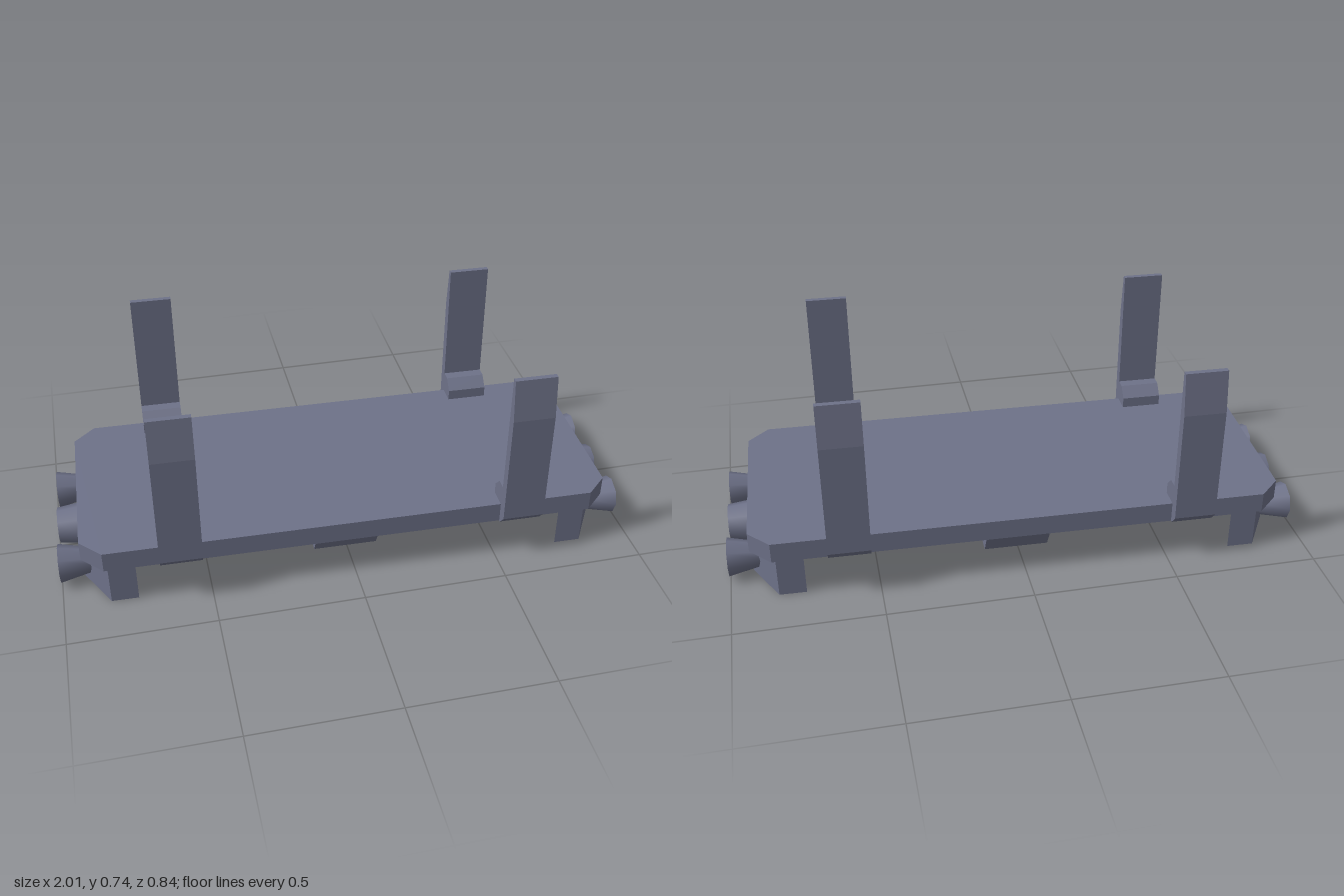
import * as THREE from 'three';

const material = new THREE.MeshStandardMaterial({ color: 0x6e7289 });
material.name = 'slate grey';

const shapeOf = (pts) => new THREE.Shape(pts.map(([x, y]) => new THREE.Vector2(x, y)));

// Rectangle with cut corners, as a point list
function cutRect(hx, hz, cx, cz = cx) {
  return [
    [hx, -hz + cz], [hx, hz - cz], [hx - cx, hz], [-hx + cx, hz],
    [-hx, hz - cz], [-hx, -hz + cz], [-hx + cx, -hz], [hx - cx, -hz],
  ];
}

// Plan outline (x, z) raised from y0 to y1
function slab(shape, y0, y1) {
  const geo = new THREE.ExtrudeGeometry(shape, { depth: y1 - y0, bevelEnabled: false });
  geo.rotateX(-Math.PI / 2);
  geo.translate(0, y0, 0);
  return geo;
}

// Side profile (z, y) extruded along x, centred on x
function sideProfile(pts, width, x = 0) {
  const geo = new THREE.ExtrudeGeometry(shapeOf(pts), { depth: width, bevelEnabled: false });
  geo.translate(0, 0, -width / 2);
  geo.rotateY(-Math.PI / 2);
  geo.translate(x, 0, 0);
  return geo;
}

export function createModel() {
  const model = new THREE.Group();
  model.name = 'tray';
  const body = new THREE.Group();
  body.name = 'body';
  body.rotation.y = -0.0266;
  model.add(body);

  const add = (name, geo, parent = body) => {
    const mesh = new THREE.Mesh(geo, material);
    mesh.name = name;
    parent.add(mesh);
    return mesh;
  };

  // Flat deck with cut corners
  add('deck', slab(shapeOf(cutRect(0.917, 0.366, 0.073)), 0.15, 0.222));

  // Frame under the deck, hollow in the middle
  const frame = shapeOf(cutRect(0.26, 0.25, 0.1));
  frame.holes.push(new THREE.Path(
    cutRect(0.215, 0.205, 0.085).reverse().map(([x, y]) => new THREE.Vector2(x, y))));
  add('underFrame', slab(frame, 0.08, 0.15));

  // Block with sloped ends crossing the frame
  add('underBlock', sideProfile([[-0.22, 0], [0.22, 0], [0.31, 0.15], [-0.31, 0.15]], 0.225));

  // Upright clips with a small hook over the deck edge
  const clip = [
    [0.373, 0.15], [0.405, 0.186], [0.405, 0.59], [0.387, 0.737], [0.369, 0.737],
    [0.369, 0.297], [0.332, 0.297], [0.297, 0.26], [0.297, 0.215], [0.365, 0.215], [0.365, 0.15],
  ];
  // Bent bracket under each end
  const bracket = [
    [0.74, 0.35], [0.835, 0.22], [0.835, -0.22], [0.74, -0.35],
    [0.832, -0.35], [0.917, -0.2], [0.917, 0.2], [0.832, 0.35],
  ];

  for (const turn of [0, Math.PI]) {
    const half = new THREE.Group();
    half.name = turn ? 'rightHalf' : 'leftHalf';
    half.rotation.y = turn;
    body.add(half);

    for (const x of [-0.588, 0.588]) add('clip', sideProfile(clip, 0.143, x), half);
    add('endBracket', slab(shapeOf(bracket), 0, 0.15), half);

    // Eight-sided knobs: the outer two flare, the middle one tapers
    for (const z of [-0.208, 0, 0.208]) {
      const [tip, base, start] = z ? [0.067, 0.037, 0.86] : [0.063, 0.074, 0.91];
      const end = 0.996;
      const geo = new THREE.CylinderGeometry(tip, base, end - start, 8);
      geo.rotateZ(-Math.PI / 2);
      const knob = add('knob', geo, half);
      knob.position.set((start + end) / 2, 0.074, z);
    }
  }
  return model;
}
